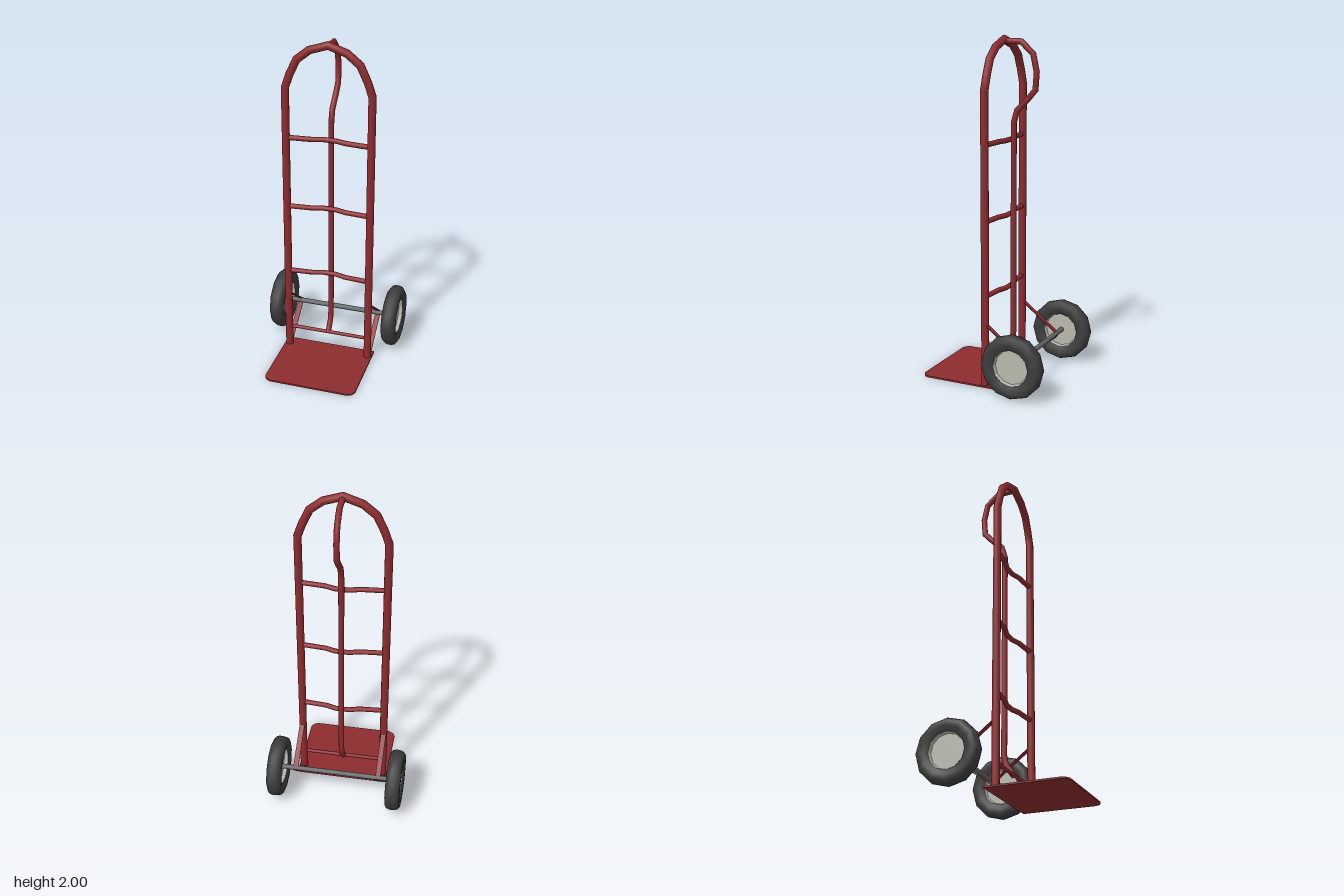
import * as THREE from 'three';

const mat = (name, color, side = THREE.FrontSide) =>
  Object.assign(new THREE.MeshStandardMaterial({ color, side }), { name });

// Round tube with mitred bends along a planar path; axis is the normal of that plane.
function tubeGeometry(points, radius, axis, sides = 12) {
  const pts = points.map((p) => new THREE.Vector3(...p));
  const b = new THREE.Vector3(...axis);
  const pos = [], index = [];
  pts.forEach((p, i) => {
    const before = p.clone().sub(pts[Math.max(i - 1, 0)]).normalize();
    const after = pts[Math.min(i + 1, pts.length - 1)].clone().sub(p).normalize();
    const t = before.clone().add(after).normalize();
    const miter = 1 / Math.max(t.dot(i ? before : after), 0.5);
    const n = b.clone().cross(t);
    for (let j = 0; j < sides; j++) {
      const a = (j / sides) * Math.PI * 2;
      const v = p.clone().addScaledVector(n, Math.cos(a) * radius * miter)
        .addScaledVector(b, Math.sin(a) * radius);
      pos.push(v.x, v.y, v.z);
      if (i < pts.length - 1) {
        const k = i * sides + j, m = i * sides + ((j + 1) % sides);
        index.push(k, m, k + sides, m, m + sides, k + sides);
      }
    }
  });
  const g = new THREE.BufferGeometry();
  g.setAttribute('position', new THREE.Float32BufferAttribute(pos, 3));
  g.setIndex(index);
  g.computeVertexNormals();
  return g;
}

export function createModel() {
  const group = new THREE.Group();
  const red = mat('red paint', 0x8c2b2e, THREE.DoubleSide);
  const rubber = mat('black rubber', 0x3c3c3c);
  const silver = mat('rim silver', 0xb8b8ae);
  const steel = mat('axle steel', 0x626666);

  const add = (name, geometry, material, parent = group) => {
    const mesh = new THREE.Mesh(geometry, material);
    mesh.name = name;
    parent.add(mesh);
    return mesh;
  };

  // Arched main frame
  const half = [[0.252, 0], [0.252, 1.71], [0.224, 1.79], [0.182, 1.88], [0.108, 1.94]];
  const arch = [
    ...half.map(([x, y]) => [-x, y, 0]),
    [0, 1.976, 0],
    ...half.map(([x, y]) => [x, y, 0]).reverse(),
  ];
  add('mainFrame', tubeGeometry(arch, 0.023, [0, 0, 1]), red);

  // Rear grip loop running down into the centre upright
  const stem = [
    [1.968, 0], [1.966, -0.105], [1.9, -0.178], [1.8, -0.2], [1.7, -0.193],
    [1.65, -0.15], [1.58, -0.08], [1.51, -0.06], [0.26, -0.06], [0.2, -0.048], [0.135, 0],
  ].map(([y, z]) => [0, y, z]);
  add('gripAndCentreUpright', tubeGeometry(stem, 0.017, [1, 0, 0]), red);

  // Bowed cross bars and the straight lowest bar
  for (const y of [0.54, 0.975, 1.41]) {
    const bar = [[-0.25, 0], [-0.1, -0.012], [-0.04, -0.03], [0.04, -0.03], [0.1, -0.012], [0.25, 0]]
      .map(([x, z]) => [x, y, z]);
    add('crossBar', tubeGeometry(bar, 0.015, [0, 1, 0], 10), red);
  }
  add('lowerBar', tubeGeometry([[-0.25, 0.14, 0], [0.25, 0.14, 0]], 0.011, [0, 1, 0], 10), red);

  // Toe plate with clipped front corners
  const plate = new THREE.Shape([
    [-0.28, 0.06], [-0.28, -0.37], [-0.268, -0.395], [-0.24, -0.41],
    [0.24, -0.41], [0.268, -0.395], [0.28, -0.37], [0.28, 0.06],
  ].map(([x, y]) => new THREE.Vector2(x, y)));
  const plateGeometry = new THREE.ExtrudeGeometry(plate, { depth: 0.01, bevelEnabled: false });
  plateGeometry.rotateX(-Math.PI / 2);
  add('toePlate', plateGeometry, red);

  // Flat straps folded around the axle
  const outer = [[0, 0.384], [-0.222, 0.212], [-0.24, 0.19], [-0.222, 0.164], [0, 0]];
  const inner = [[0, 0.006], [-0.219, 0.17], [-0.234, 0.19], [-0.219, 0.208], [0, 0.378]];
  const strap = new THREE.Shape([...outer, ...inner].map(([z, y]) => new THREE.Vector2(-z, y)));
  for (const side of [-1, 1]) {
    const g = new THREE.ExtrudeGeometry(strap, { depth: 0.031, bevelEnabled: false });
    g.translate(0, 0, -0.0155);
    g.rotateY(Math.PI / 2);
    add('axleStrap', g, red).position.x = side * 0.254;
  }

  // Axle
  const axle = add('axle', new THREE.CylinderGeometry(0.015, 0.015, 0.71, 12), steel);
  axle.rotation.z = Math.PI / 2;
  axle.position.set(0, 0.192, -0.223);

  // Wheels: twelve-sided tyre and dished rim
  const mirrored = (pts) => [...pts, ...pts.map(([r, h]) => [r, -h]).reverse()]
    .map(([r, h]) => new THREE.Vector2(r, h));
  const tyreProfile = mirrored([
    [0.106, -0.03], [0.135, -0.044], [0.162, -0.044], [0.18, -0.031], [0.187, -0.012],
  ]);
  const rimProfile = mirrored([[0, -0.01], [0.1, -0.01], [0.107, -0.032]]);
  const rimGeometry = new THREE.LatheGeometry(rimProfile, 12).toNonIndexed();
  rimGeometry.computeVertexNormals();
  for (const side of [-1, 1]) {
    const wheel = new THREE.Group();
    wheel.name = side > 0 ? 'leftWheel' : 'rightWheel';
    add('tyre', new THREE.LatheGeometry(tyreProfile, 12), rubber, wheel);
    add('rim', rimGeometry, silver, wheel);
    wheel.rotation.z = Math.PI / 2;
    wheel.position.set(side * 0.36, 0.192, -0.223);
    group.add(wheel);
  }
  return group;
}
